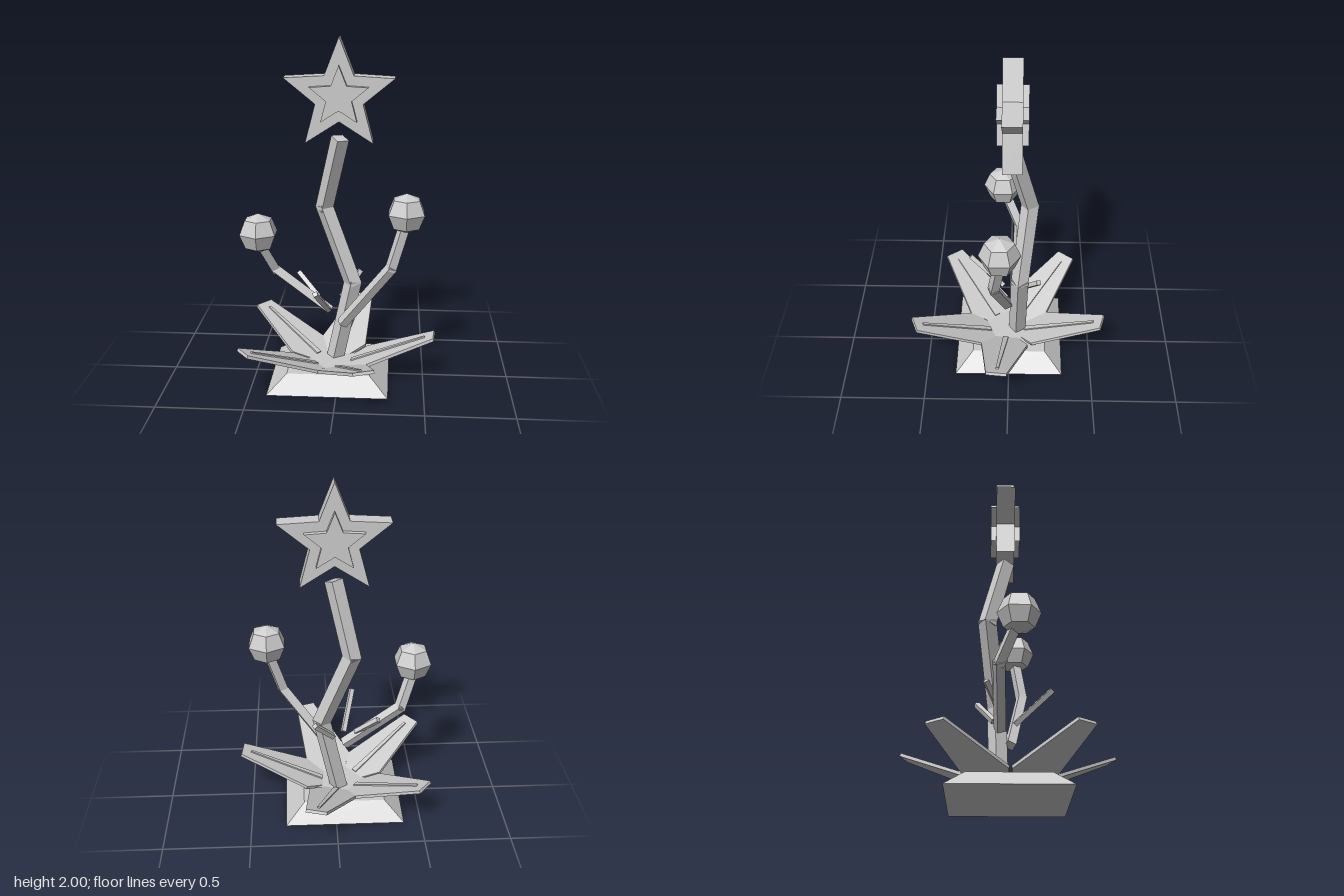
import * as THREE from 'three';

const grey = new THREE.MeshStandardMaterial({ color: 0xcccccc, flatShading: true });
grey.name = 'light grey';

function part(geometry, name, parent) {
  const mesh = new THREE.Mesh(geometry, grey);
  mesh.name = name;
  parent.add(mesh);
  return mesh;
}

// Square bar from a to b, turned about its own length and run a little past both ends
function bar(a, b, width, turn, overlap, name, parent) {
  const start = new THREE.Vector3(...a), end = new THREE.Vector3(...b);
  const dir = end.clone().sub(start);
  const mesh = part(new THREE.BoxGeometry(width, dir.length() + overlap * 2, width), name, parent);
  mesh.position.copy(start).add(end).multiplyScalar(0.5);
  mesh.quaternion.setFromUnitVectors(new THREE.Vector3(0, 1, 0), dir.normalize());
  mesh.rotateY(turn);
  return mesh;
}

// Chain of bars through a list of joints
function limb(points, width, turn, name, parent) {
  const group = new THREE.Group();
  group.name = name;
  for (let i = 0; i < points.length - 1; i++)
    bar(points[i], points[i + 1], width, turn, 0.015, name + 'Segment', group);
  parent.add(group);
}

function extrude(points, depth) {
  const shape = new THREE.Shape(points.map(([x, y]) => new THREE.Vector2(x, y)));
  return new THREE.ExtrudeGeometry(shape, { depth, bevelEnabled: false });
}

function star(outer, inner, depth) {
  const points = [];
  for (let i = 0; i < 10; i++) {
    const a = Math.PI / 2 + (i * Math.PI) / 5, r = i % 2 ? inner : outer;
    points.push([r * Math.cos(a), r * Math.sin(a)]);
  }
  return extrude(points, depth).translate(0, 0, -depth / 2);
}

export function createModel() {
  const model = new THREE.Group();
  model.name = 'starPlant';

  // Tapered rectangular base
  const baseGeo = new THREE.BoxGeometry(0.695, 0.09, 0.65);
  const p = baseGeo.attributes.position;
  for (let i = 0; i < p.count; i++)
    if (p.getY(i) > 0) p.setXYZ(i, p.getX(i) * 0.69, p.getY(i), p.getZ(i) * 0.68);
  baseGeo.computeVertexNormals();
  part(baseGeo, 'base', model).position.set(-0.052, 0.045, 0);

  // Five leaves sloping upward, each with a raised midrib
  const leafGeo = extrude([
    [0.1, -0.06], [0.216, -0.145], [0.654, -0.06],
    [0.654, 0.06], [0.216, 0.145], [0.1, 0.06],
  ], 0.018).rotateX(-Math.PI / 2);
  const ribGeo = extrude([
    [0.13, -0.017], [0.6, -0.008], [0.6, 0.008], [0.13, 0.017],
  ], 0.016).rotateX(-Math.PI / 2);
  for (const degrees of [5.4, 69.9, 142.7, 219, 285.9]) {
    const leaf = new THREE.Group();
    leaf.name = 'leaf';
    leaf.position.set(-0.04, 0.027, 0.011);
    leaf.rotation.set(0, -THREE.MathUtils.degToRad(degrees), 0.389, 'YXZ');
    part(leafGeo, 'leafBlade', leaf);
    part(ribGeo, 'leafMidrib', leaf).position.y = 0.01;
    model.add(leaf);
  }

  // Zigzag stem and the two side branches
  limb([[-0.025, 0.09, -0.05], [0.075, 0.555, -0.062], [-0.095, 1.005, -0.118], [0, 1.42, -0.02]],
    0.075, 0.6, 'stem', model);
  limb([[0.025, 0.335, 0.015], [0.3, 0.7, 0.085], [0.372, 0.94, 0.05]],
    0.05, 0.4, 'leftBranch', model);
  limb([[-0.07, 0.395, -0.045], [-0.385, 0.635, -0.055], [-0.46, 0.82, 0.03]],
    0.05, 0.4, 'rightBranch', model);

  // Short bare twigs
  const twigs = [
    [[-0.06, 0.42, 0.04], [-0.12, 0.59, 0.235]],
    [[-0.13, 0.47, -0.05], [-0.25, 0.59, -0.12]],
    [[0.01, 0.46, -0.08], [0.115, 0.59, -0.172]],
  ];
  for (const [a, b] of twigs) bar(a, b, 0.027, 0.3, 0.005, 'twig', model);

  // Faceted balls at the branch ends
  const ballGeo = new THREE.SphereGeometry(0.117, 6, 4).rotateY(Math.PI / 2);
  part(ballGeo, 'leftBall', model).position.set(0.384, 1.02, 0.047);
  part(ballGeo, 'rightBall', model).position.set(-0.463, 0.887, 0.047);

  // Star with a smaller star standing out of both faces
  const top = new THREE.Group();
  top.name = 'star';
  top.position.set(0, 1.676, -0.018);
  part(star(0.324, 0.14, 0.108), 'outerStar', top);
  part(star(0.172, 0.075, 0.172), 'innerStar', top);
  model.add(top);

  return model;
}
